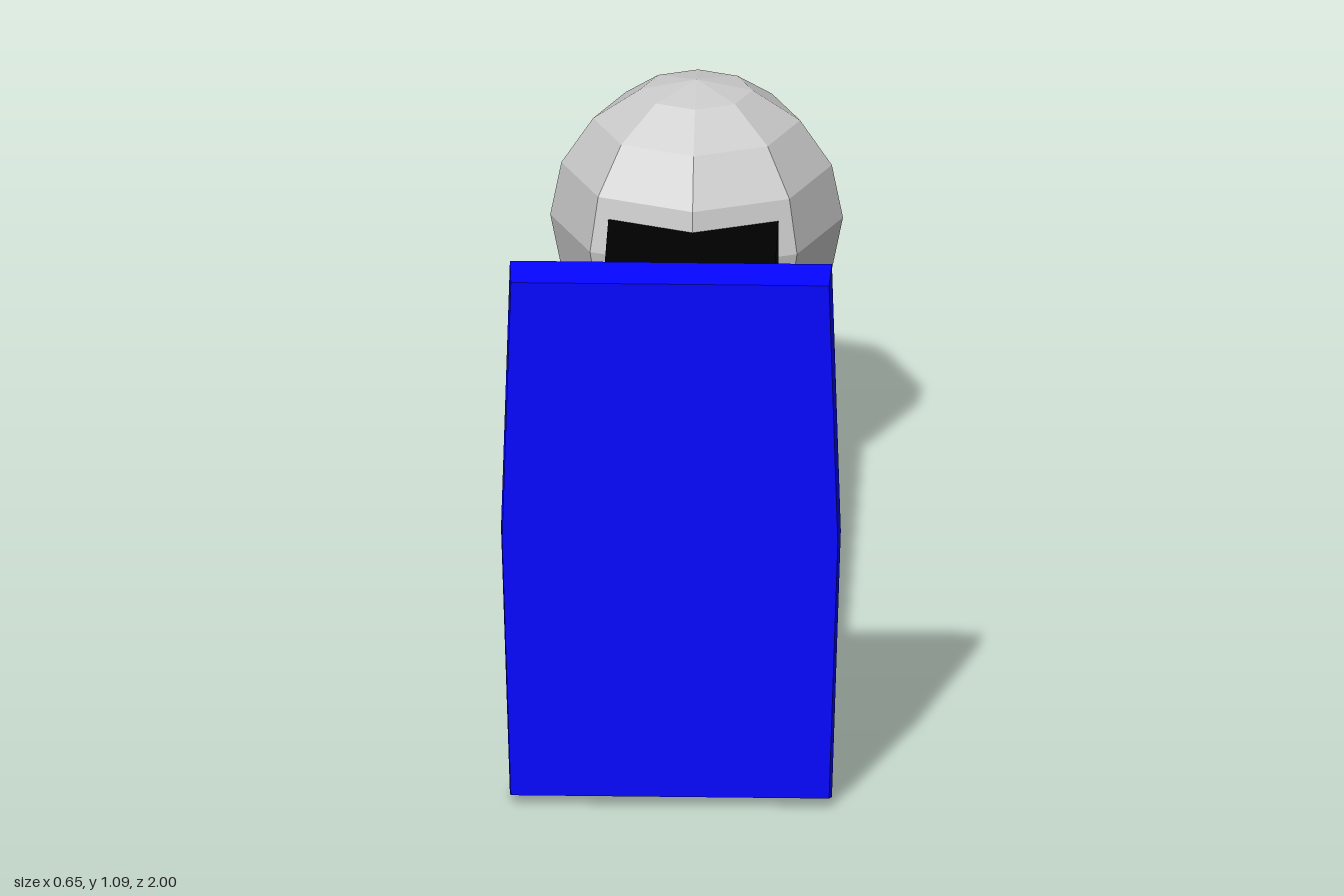
import * as THREE from 'three';

const MID_Y = 0.546;

function material(color) {
  return new THREE.MeshStandardMaterial({ color, flatShading: true });
}

function addPart(group, name, geometry, color, y, z) {
  const mesh = new THREE.Mesh(geometry, material(color));
  mesh.name = name;
  mesh.position.set(0, y, z);
  group.add(mesh);
}

// Upright plate with gently bowed sides, its front face slightly smaller than its back
function plateGeometry(depth) {
  const outline = [
    [-0.308, -0.546], [0.308, -0.546], [0.325, 0],
    [0.308, 0.546], [-0.308, 0.546], [-0.325, 0],
  ].map(([x, y]) => new THREE.Vector2(x, y));
  const geometry = new THREE.ExtrudeGeometry(new THREE.Shape(outline), { depth, bevelEnabled: false });
  const p = geometry.attributes.position;
  for (let i = 0; i < p.count; i++) {
    if (p.getZ(i) > depth / 2) p.setXY(i, p.getX(i) * 0.988, p.getY(i) * 0.962);
  }
  geometry.computeVertexNormals();
  return geometry;
}

export function createModel() {
  const group = new THREE.Group();
  group.name = 'model';

  // Front plate
  addPart(group, 'frontPlate', plateGeometry(0.062), 0x0000ff, MID_Y, 0.938);

  // Flat bar joining the plate to the ball
  const back = -0.56, front = 0.94;
  addPart(group, 'bar', new THREE.BoxGeometry(0.326, 0.136, front - back), 0x000000, MID_Y + 0.002, (front + back) / 2);

  // Faceted ball at the rear end
  addPart(group, 'ball', new THREE.SphereGeometry(0.28, 8, 8), 0xcccccc, MID_Y + 0.002, -0.72);

  return group;
}
